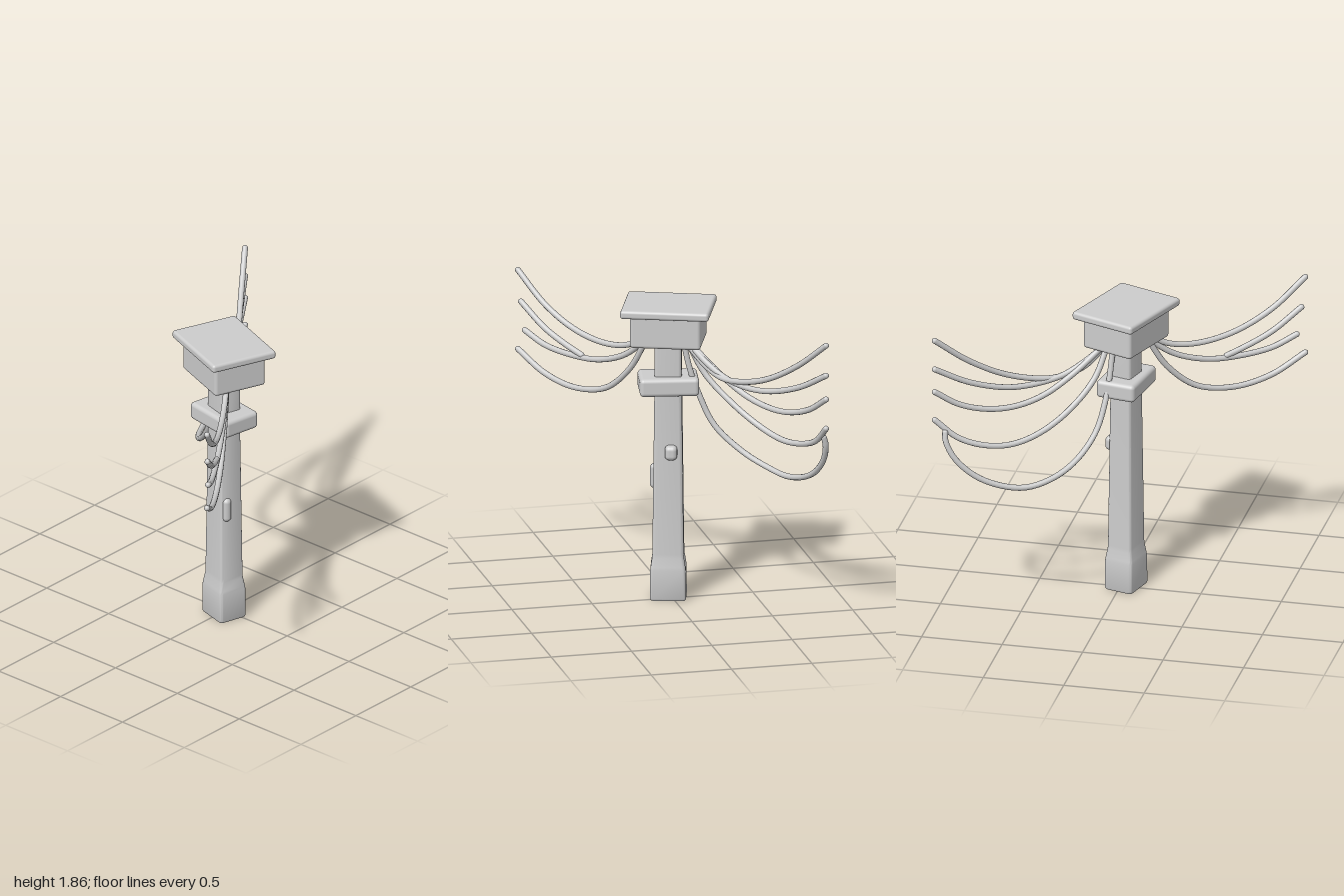
import * as THREE from 'three';
import { toCreasedNormals } from 'three/addons/utils/BufferGeometryUtils.js';
import { RoundedBoxGeometry } from 'three/addons/geometries/RoundedBoxGeometry.js';

const CX = -0.032, CZ = 0.018;          // axis of the post
const POST_TURN = -0.27;

// Rounded-rectangle cross-section, counter-clockwise seen from above
function ring(w, d, y, r = 0.02, steps = 4) {
  const pts = [];
  const corners = [[1, 1], [1, -1], [-1, -1], [-1, 1]];
  corners.forEach(([sx, sz], i) => {
    for (let k = 0; k <= steps; k++) {
      const a = Math.PI / 2 * (1 - i - k / steps);
      pts.push([sx * (w / 2 - r) + r * Math.cos(a), y, sz * (d / 2 - r) + r * Math.sin(a)]);
    }
  });
  return pts;
}

// Open skin through a stack of equal rings, bottom to top
function loft(rings) {
  const n = rings[0].length, index = [];
  for (let j = 0; j < rings.length - 1; j++) {
    for (let i = 0; i < n; i++) {
      const a = j * n + i, b = j * n + (i + 1) % n;
      index.push(a, b, b + n, a, b + n, a + n);
    }
  }
  const geo = new THREE.BufferGeometry();
  geo.setAttribute('position', new THREE.Float32BufferAttribute(rings.flat(2), 3));
  geo.setIndex(index);
  return toCreasedNormals(geo, 0.6);
}

export function createModel() {
  const model = new THREE.Group();
  const grey = new THREE.MeshStandardMaterial({ color: 0xcccccc });
  grey.name = 'plain grey';

  function add(name, geo, parent = model) {
    const mesh = new THREE.Mesh(geo, grey);
    mesh.name = name;
    parent.add(mesh);
    return mesh;
  }

  function block(name, w, h, d, y, turn, r) {
    const mesh = add(name, new RoundedBoxGeometry(w, h, d, 4, r));
    mesh.position.set(CX, y, CZ);
    mesh.rotation.y = turn;
    return mesh;
  }

  // Tapering post with a thicker foot, open underneath
  const post = add('post', loft([
    ring(0.18, 0.21, 0), ring(0.19, 0.22, 0.012), ring(0.187, 0.215, 0.19),
    ring(0.182, 0.21, 0.21), ring(0.165, 0.193, 0.265), ring(0.162, 0.19, 0.29),
    ring(0.142, 0.166, 1.3), ring(0.14, 0.162, 1.66),
  ]));
  post.position.set(CX, 0, CZ);
  post.rotation.y = POST_TURN;

  // Collar, head box and flat cap
  block('collar', 0.25, 0.112, 0.36, 1.355, -0.17, 0.025);
  block('headBox', 0.345, 0.22, 0.43, 1.725, -0.36, 0.02);
  block('cap', 0.432, 0.052, 0.54, 1.836, -0.36, 0.018);

  // Knobs on the post faces
  const frontKnob = add('frontKnob', new THREE.CapsuleGeometry(0.028, 0.1, 6, 12));
  frontKnob.position.set(-0.09, 0.755, 0.09);
  const sideKnob = add('sideKnob', new RoundedBoxGeometry(0.08, 0.09, 0.075, 4, 0.028));
  sideKnob.position.set(0.053, 0.938, 0.022);
  sideKnob.rotation.y = POST_TURN;

  // Hanging cables
  function cable(name, points, radius = 0.018) {
    const group = new THREE.Group();
    group.name = name;
    model.add(group);
    const path = new THREE.CatmullRomCurve3(points.map((p) => new THREE.Vector3(...p)));
    add('cableRun', new THREE.TubeGeometry(path, 48, radius, 10), group);
    for (const t of [0, 1]) {
      add('cableEnd', new THREE.SphereGeometry(radius, 10, 8), group).position.copy(path.getPoint(t));
    }
  }

  // Left-hand set in the front view lies in one upright plane
  const inPlane = ([x, y]) => [x, y, 0.12 - (x + 0.12) * 0.7];
  const frontCables = [
    [[-0.98, 1.835], [-0.8, 1.66], [-0.6, 1.55], [-0.4, 1.515], [-0.25, 1.545], [-0.13, 1.63]],
    [[-0.96, 1.64], [-0.8, 1.51], [-0.65, 1.435], [-0.56, 1.4]],
    [[-0.935, 1.465], [-0.8, 1.405], [-0.6, 1.385], [-0.45, 1.4], [-0.3, 1.46], [-0.2, 1.54], [-0.13, 1.63]],
    [[-0.98, 1.335], [-0.8, 1.225], [-0.6, 1.185], [-0.4, 1.235], [-0.25, 1.385], [-0.17, 1.53], [-0.13, 1.63]],
  ];
  frontCables.forEach((pts, i) => cable('frontCable' + (i + 1), pts.map(inPlane)));

  // Rear set fans out slightly before meeting at the far end
  const rearCables = [
    [[0.985, 1.84, -0.715], [0.8, 1.665, -0.58], [0.6, 1.53, -0.43], [0.4, 1.468, -0.3],
      [0.3, 1.468, -0.23], [0.18, 1.515, -0.16], [0.07, 1.63, -0.07]],
    [[0.985, 1.65, -0.715], [0.8, 1.53, -0.59], [0.6, 1.455, -0.45], [0.45, 1.445, -0.34],
      [0.3, 1.475, -0.24], [0.2, 1.53, -0.17], [0.07, 1.63, -0.08]],
    [[0.985, 1.5, -0.715], [0.85, 1.4, -0.64], [0.7, 1.345, -0.55], [0.55, 1.338, -0.46],
      [0.4, 1.378, -0.355], [0.25, 1.475, -0.235], [0.08, 1.63, -0.09]],
    [[0.985, 1.315, -0.715], [0.85, 1.2, -0.685], [0.7, 1.14, -0.63], [0.55, 1.125, -0.55],
      [0.4, 1.17, -0.45], [0.25, 1.275, -0.32], [0.12, 1.44, -0.175], [0.06, 1.63, -0.08]],
    [[0.92, 1.24, -0.717], [0.915, 1.19, -0.73], [0.85, 1.07, -0.73], [0.7, 0.94, -0.69],
      [0.48, 0.868, -0.605], [0.33, 0.89, -0.51], [0.2, 0.965, -0.38], [0.1, 1.11, -0.235],
      [0.055, 1.3, -0.15], [0.04, 1.45, -0.1], [0.03, 1.63, -0.06]],
  ];
  rearCables.forEach((pts, i) => cable('rearCable' + (i + 1), pts));

  return model;
}
